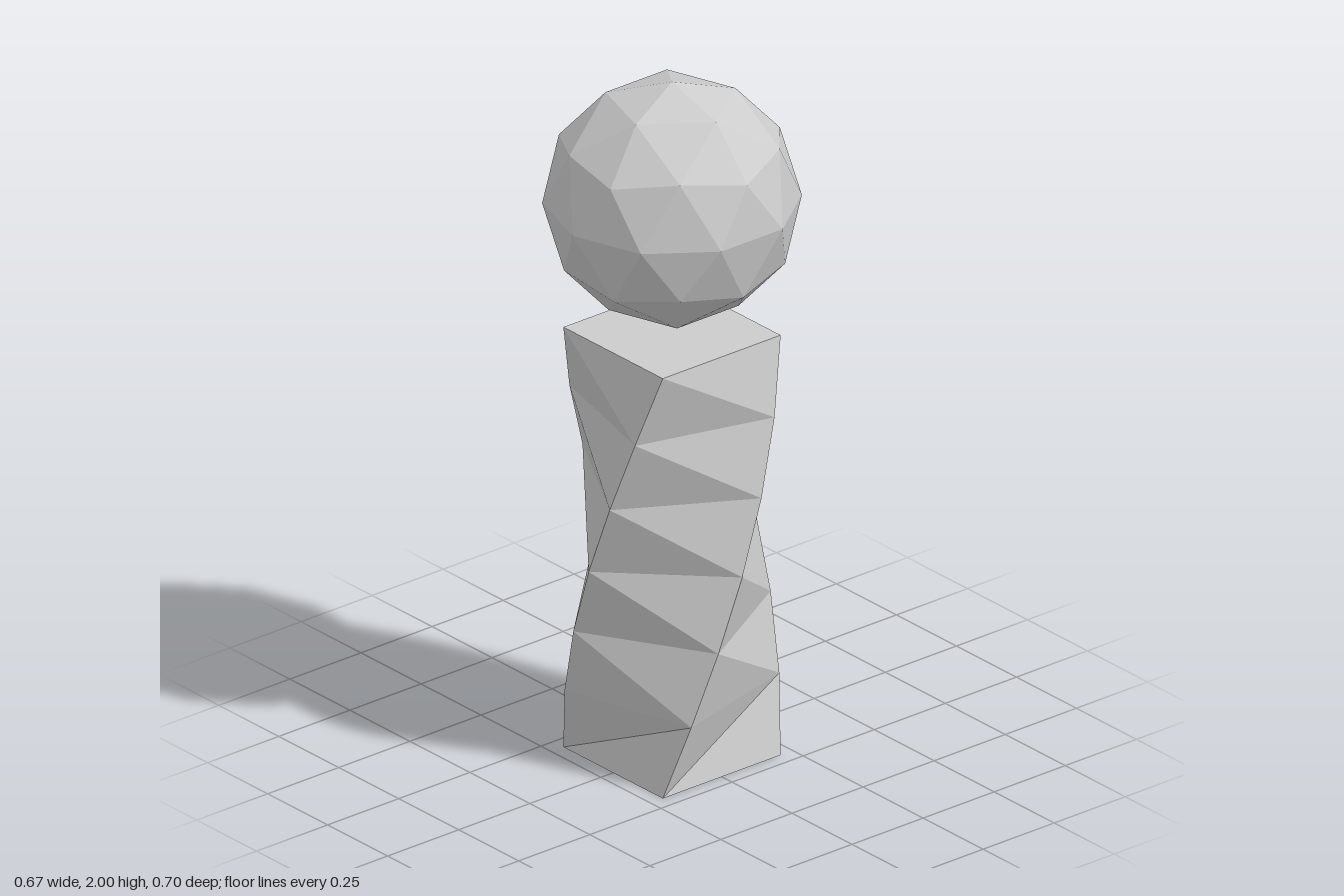
import * as THREE from 'three';

const material = new THREE.MeshStandardMaterial({ color: 0xcccccc, flatShading: true });

// Square column twisted a quarter turn over its height
function twistedColumn(radius, height, segments, twist) {
  const positions = [];
  const corner = (level, k) => {
    const a = Math.PI / 4 + (k * Math.PI) / 2 + (twist * level) / segments;
    return [radius * Math.sin(a), (height * level) / segments, radius * Math.cos(a)];
  };
  const tri = (a, b, c) => positions.push(...a, ...b, ...c);

  // Sides: the lowest row is split along the other diagonal
  for (let level = 0; level < segments; level++) {
    for (let k = 0; k < 4; k++) {
      const bl = corner(level, k), br = corner(level, k + 1);
      const tl = corner(level + 1, k), tr = corner(level + 1, k + 1);
      if (level === 0) {
        tri(bl, br, tr);
        tri(bl, tr, tl);
      } else {
        tri(tl, bl, br);
        tri(tl, br, tr);
      }
    }
  }

  // Top and bottom caps
  for (const k of [0, 2]) {
    tri(corner(segments, k), corner(segments, k + 1), corner(segments, k + 2));
    tri(corner(0, k + 2), corner(0, k + 1), corner(0, k));
  }

  const geometry = new THREE.BufferGeometry();
  geometry.setAttribute('position', new THREE.Float32BufferAttribute(positions, 3));
  geometry.computeVertexNormals();
  return geometry;
}

export function createModel() {
  const group = new THREE.Group();
  group.name = 'twistedPillarWithBall';

  const column = new THREE.Mesh(twistedColumn(0.293, 1.255, 6, Math.PI / 2), material);
  column.name = 'twistedColumn';
  group.add(column);

  // Faceted ball, turned so that one corner points straight up
  const ballGeometry = new THREE.IcosahedronGeometry(0.35, 1);
  ballGeometry.rotateZ(-Math.atan(2 / (1 + Math.sqrt(5))));
  const ball = new THREE.Mesh(ballGeometry, material);
  ball.name = 'ball';
  ball.position.y = 1.65;
  group.add(ball);

  return group;
}
